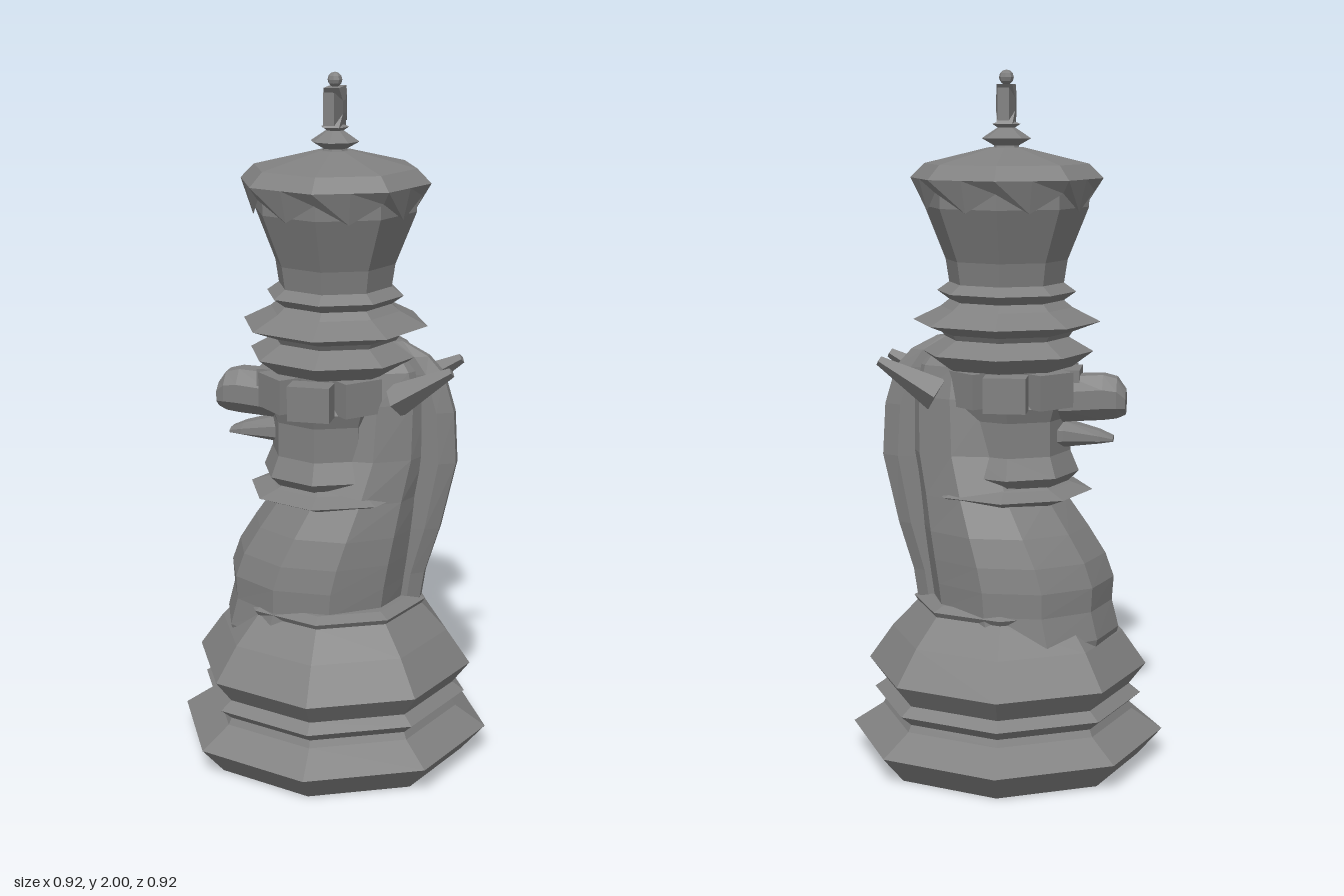
import * as THREE from 'three';

const material = new THREE.MeshStandardMaterial({ color: 0x808080, flatShading: true, side: THREE.DoubleSide });

export function createModel() {
  const model = new THREE.Group();

  const add = (name, geometry, parent = model) => {
    const mesh = new THREE.Mesh(geometry, material);
    mesh.name = name;
    parent.add(mesh);
    return mesh;
  };

  const addGroup = (name, x, z) => {
    const group = new THREE.Group();
    group.name = name;
    group.position.set(x, 0, z);
    model.add(group);
    return group;
  };

  // Eight-sided turned part from [radius, height] pairs
  const turned = (name, profile, parent) =>
    add(name, new THREE.LatheGeometry(profile.map(([r, y]) => new THREE.Vector2(r, y)), 8), parent);

  // Closed loft along y; each section is [y, minX, maxX, halfZ]
  const loft = (sections, sides = 8, turn = 0) => {
    const pos = [], index = [];
    const fit = 1 / Math.cos(turn);
    for (const [y, x0, x1, hz] of sections) {
      for (let i = 0; i < sides; i++) {
        const a = (i / sides) * Math.PI * 2 + turn;
        pos.push((x0 + x1) / 2 + ((x1 - x0) / 2) * Math.cos(a) * fit, y, -hz * Math.sin(a) * fit);
      }
    }
    const last = sections.length - 1;
    for (let s = 0; s < last; s++) {
      for (let i = 0; i < sides; i++) {
        const a = s * sides + i, b = s * sides + ((i + 1) % sides);
        index.push(a, b, b + sides, a, b + sides, a + sides);
      }
    }
    for (let i = 1; i < sides - 1; i++) {
      index.push(0, i + 1, i, last * sides, last * sides + i, last * sides + i + 1);
    }
    const geometry = new THREE.BufferGeometry();
    geometry.setAttribute('position', new THREE.Float32BufferAttribute(pos, 3));
    geometry.setIndex(index);
    geometry.computeVertexNormals();
    return geometry;
  };

  // Stepped foot
  turned('base', [
    [0, 0], [0.39, 0], [0.46, 0.08], [0.37, 0.14], [0.36, 0.16], [0.395, 0.19], [0.36, 0.215],
    [0.41, 0.28], [0.34, 0.38], [0.265, 0.46], [0.275, 0.475], [0.24, 0.49], [0, 0.49],
  ]).rotation.y = 0.04;

  // Horse, facing -x
  const horse = addGroup('horse', 0, -0.015);
  add('horseNeck', loft([
    [0.36, -0.32, 0.2, 0.25], [0.4, -0.33, 0.21, 0.26], [0.48, -0.31, 0.22, 0.25], [0.55, -0.315, 0.23, 0.25],
    [0.62, -0.29, 0.24, 0.24], [0.7, -0.24, 0.25, 0.22], [0.8, -0.17, 0.26, 0.18],
    [0.92, -0.12, 0.28, 0.14], [1.08, -0.1, 0.28, 0.12], [1.17, -0.08, 0.26, 0.1], [1.24, 0, 0.2, 0.06],
  ], 10), horse);

  // Raised mane along the back of the neck
  add('mane', loft([
    [0.48, 0.14, 0.26, 0.04], [0.56, 0.15, 0.272, 0.04], [0.7, 0.18, 0.315, 0.04], [0.9, 0.2, 0.36, 0.038],
    [1.05, 0.19, 0.352, 0.036], [1.16, 0.16, 0.32, 0.034], [1.21, 0.15, 0.275, 0.03], [1.25, 0.14, 0.2, 0.02],
  ], 8, Math.PI / 8), horse);

  // Muzzle parts are lofted from the skull out to the nose, towards -x
  add('upperJaw', loft([
    [0, 0.98, 1.2, 0.1], [0.18, 1.01, 1.14, 0.08], [0.28, 1.015, 1.145, 0.065], [0.32, 1.02, 1.135, 0.06],
    [0.345, 1.03, 1.1, 0.045],
  ], 8, Math.PI / 8).rotateZ(Math.PI / 2), horse);
  add('lowerJaw', loft([
    [0, 0.9, 1.03, 0.08], [0.17, 0.935, 1.01, 0.065], [0.27, 0.945, 0.982, 0.05], [0.31, 0.95, 0.965, 0.035],
  ], 8, Math.PI / 8).rotateZ(Math.PI / 2), horse);

  // Ears sweep backwards and up
  for (const side of [-1, 1]) {
    const from = new THREE.Vector3(0.19, 1.09, side * 0.082);
    const tip = new THREE.Vector3(0.355, 1.185, side * 0.09 - 0.008);
    const dir = tip.clone().sub(from);
    const ear = add(side > 0 ? 'leftEar' : 'rightEar', new THREE.CylinderGeometry(0.014, 0.05, dir.length(), 4), horse);
    ear.position.copy(from).add(tip).multiplyScalar(0.5);
    ear.rotation.z = Math.atan2(dir.y, dir.x) - Math.PI / 2;
  }

  // Thin collar and tower set around the neck
  const tower = addGroup('tower', -0.02, -0.005);
  turned('lowerCollar', [[0.15, 0.77], [0.19, 0.785], [0.24, 0.805], [0.18, 0.825], [0.15, 0.84]], tower).position.x = 0.01;
  turned('towerWall', [
    [0, 0.8], [0.16, 0.83], [0.19, 0.86], [0.165, 0.92], [0.165, 1.02], [0.18, 1.06], [0.15, 1.08], [0.15, 1.18], [0, 1.18],
  ], tower);

  // Battlements
  for (let i = 0; i < 8; i++) {
    if (i === 2) continue; // the neck fills this place
    const a = (i * Math.PI) / 4;
    const r = i % 4 === 0 ? 0.2 : 0.16;
    const block = add('battlement', new THREE.BoxGeometry(0.12, 0.1, 0.07), tower);
    block.position.set(Math.sin(a) * r, 1.11, Math.cos(a) * r);
    block.rotation.y = a;
  }

  // Upper collars, flared body and domed top
  const crown = addGroup('crownedTop', 0, -0.015);
  turned('upperBody', [
    [0, 1.16], [0.19, 1.165], [0.25, 1.21], [0.18, 1.25], [0.19, 1.265], [0.27, 1.295], [0.19, 1.335],
    [0.165, 1.355], [0.2, 1.38], [0.165, 1.405], [0.175, 1.47], [0.235, 1.62], [0.235, 1.69],
  ], crown);
  turned('domedTop', [[0.235, 1.69], [0.275, 1.7], [0.235, 1.74], [0.05, 1.785], [0, 1.785]], crown);

  // Zigzag coronet: lower points alternate, flat between eight corners
  const coronet = new THREE.LatheGeometry([new THREE.Vector2(0.25, 1.61), new THREE.Vector2(0.275, 1.7)], 16);
  const p = coronet.attributes.position;
  for (let i = 0; i < p.count; i++) {
    const odd = Math.floor(i / 2) % 2 === 1;
    const low = i % 2 === 0;
    const k = odd ? Math.cos(Math.PI / 8) : 1;
    p.setXYZ(i, p.getX(i) * k, low && !odd ? 1.665 : p.getY(i), p.getZ(i) * k);
  }
  add('coronet', coronet, crown);

  // Finial: knob, flared cross and bead
  turned('finialKnob', [[0.04, 1.77], [0.035, 1.79], [0.07, 1.81], [0.025, 1.84], [0.04, 1.85], [0, 1.865]], crown);
  const outline = [];
  for (let q = 0; q < 4; q++) {
    const c = Math.round(Math.cos((q * Math.PI) / 2)), s = Math.round(Math.sin((q * Math.PI) / 2));
    const reach = q % 2 ? 0.7 : 1; // upright arms are shorter
    for (const y of [-0.045, 0.045]) {
      outline.push(new THREE.Vector2(c * 0.078 - s * y, (s * 0.078 + c * y) * reach));
    }
    outline.push(new THREE.Vector2((c - s) * 0.018, (s + c) * 0.018));
  }
  const cross = new THREE.ExtrudeGeometry(new THREE.Shape(outline), { depth: 0.06, bevelEnabled: false });
  cross.translate(0, 0, -0.03);
  cross.rotateY(Math.PI / 2);
  // Side arms thin out towards their ends
  const cp = cross.attributes.position;
  for (let i = 0; i < cp.count; i++) cp.setX(i, cp.getX(i) * (1 - 6 * Math.abs(cp.getZ(i))));
  add('cross', cross, crown).position.y = 1.905;
  add('bead', new THREE.SphereGeometry(0.021, 8, 6), crown).position.y = 1.979;

  return model;
}
